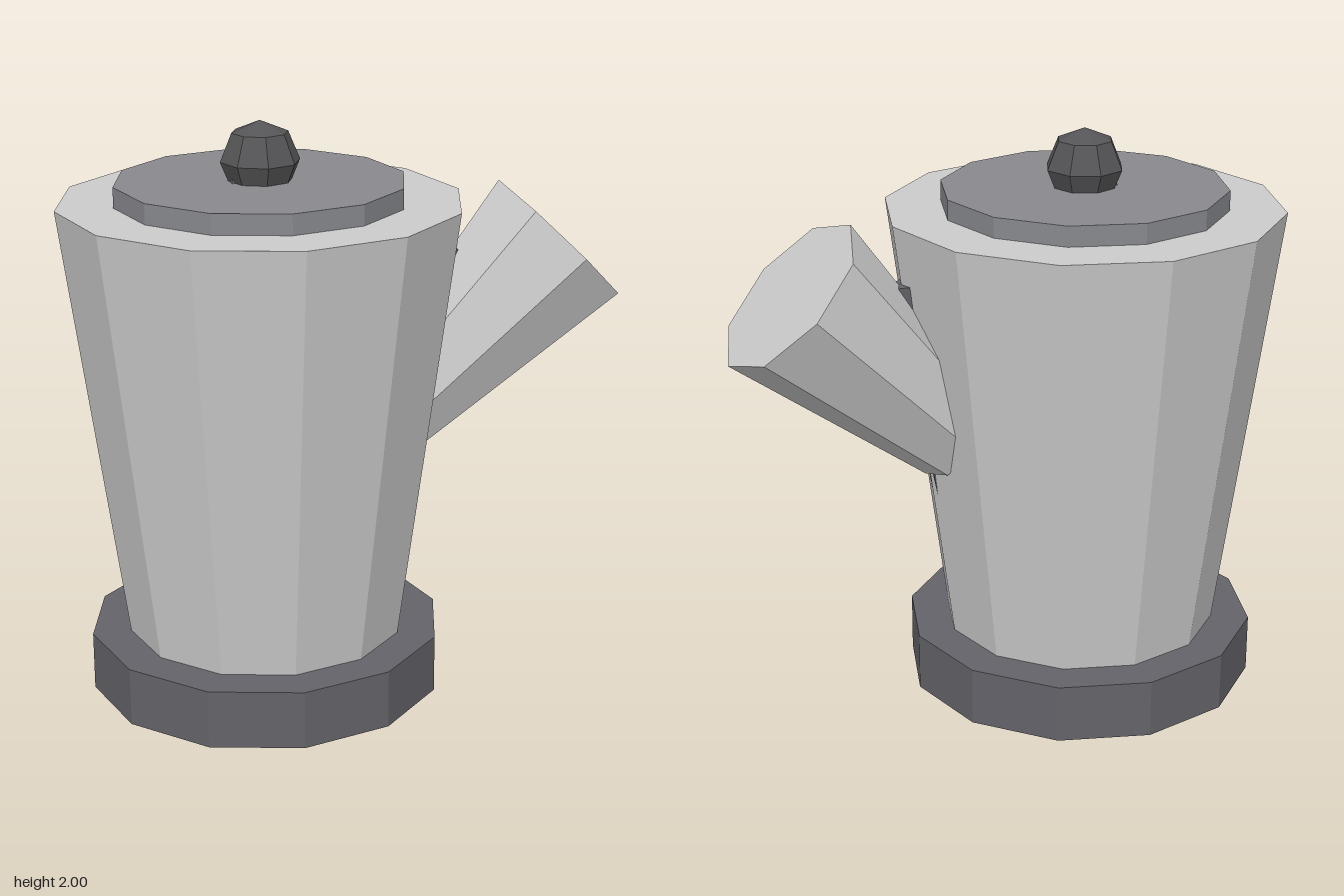
import * as THREE from 'three';

const paint = (color) => new THREE.MeshStandardMaterial({ color, flatShading: true });

export function createModel() {
  const group = new THREE.Group();
  const cx = -0.29; // axis of the pot
  const bodyMat = paint(0xcccccc);
  const baseMat = paint(0x646369);
  const lidMat = paint(0x88898e);
  const knobMat = paint(0x555557);

  const add = (name, geometry, material, x, y) => {
    const mesh = new THREE.Mesh(geometry, material);
    mesh.name = name;
    mesh.position.set(x, y, 0);
    group.add(mesh);
    return mesh;
  };

  // Upright twelve-sided drum between two heights
  const drum = (name, rTop, rBottom, y0, y1, material) =>
    add(name, new THREE.CylinderGeometry(rTop, rBottom, y1 - y0, 12), material, cx, (y0 + y1) / 2);

  drum('base', 0.62, 0.62, 0, 0.205, baseMat);
  drum('body', 0.69, 0.485, 0.205, 1.73, bodyMat);
  drum('lid', 0.495, 0.495, 1.73, 1.8, lidMat);
  add('knob', new THREE.SphereGeometry(0.136, 8, 4), knobMat, cx, 1.864);

  // Flared spout leaning out at 45 degrees
  const spout = add('spout', new THREE.CylinderGeometry(0.306, 0.171, 0.828, 8), bodyMat, 0.467, 1.243);
  spout.rotation.z = -Math.PI / 4;

  // Angular handle, mostly sunk into the pot, with only its corners showing
  const handle = new THREE.Group();
  handle.name = 'handle';
  group.add(handle);
  const corners = [[-0.4, 1.785], [0.355, 1.53], [0.18, 0.56]].map(([x, y]) => new THREE.Vector3(x, y, 0));
  for (let i = 0; i < corners.length - 1; i++) {
    const a = corners[i], b = corners[i + 1];
    const dir = b.clone().sub(a);
    const rod = new THREE.Mesh(new THREE.CylinderGeometry(0.053, 0.053, dir.length(), 6), baseMat);
    rod.name = 'handleRod';
    rod.position.copy(a).add(b).multiplyScalar(0.5);
    rod.quaternion.setFromUnitVectors(new THREE.Vector3(0, 1, 0), dir.normalize());
    handle.add(rod);
  }
  return group;
}
